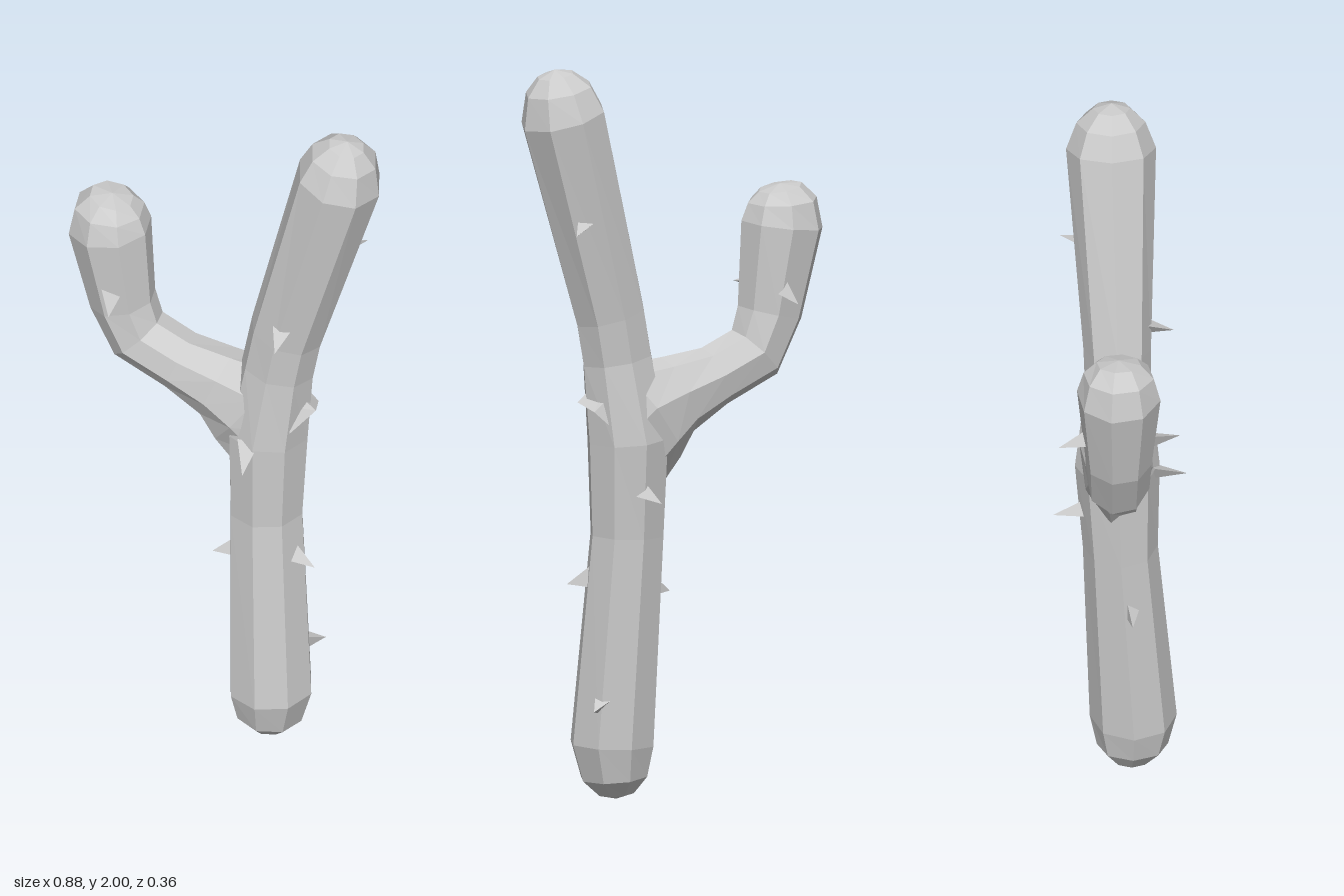
import * as THREE from 'three';

const SIDES = 8;
const material = new THREE.MeshStandardMaterial({ color: 0xcccccc, flatShading: true });

// Loft a faceted limb through rings of [x, y, z, radius in the xy plane, radius along z]
function limb(name, rings, twist = 0) {
  const loops = rings.map(([x, y, z, ru, rz], i) => {
    const a = rings[Math.max(i - 1, 0)], b = rings[Math.min(i + 1, rings.length - 1)];
    const t = new THREE.Vector2(b[0] - a[0], b[1] - a[1]).normalize();
    return Array.from({ length: SIDES }, (_, k) => {
      const ang = (k + twist) / SIDES * Math.PI * 2;
      const u = Math.cos(ang) * ru;
      return [x + t.y * u, y - t.x * u, z + Math.sin(ang) * rz];
    });
  });
  const pos = [];
  for (let i = 0; i < loops.length - 1; i++) {
    for (let k = 0; k < SIDES; k++) {
      const n = (k + 1) % SIDES;
      const a = loops[i][k], b = loops[i + 1][k], c = loops[i + 1][n], d = loops[i][n];
      // Rings of zero radius are the pointed ends of the caps
      if (rings[i + 1][3] > 0) pos.push(...a, ...b, ...c);
      if (rings[i][3] > 0) pos.push(...a, ...c, ...d);
    }
  }
  const geo = new THREE.BufferGeometry();
  geo.setAttribute('position', new THREE.Float32BufferAttribute(pos, 3));
  geo.computeVertexNormals();
  const mesh = new THREE.Mesh(geo, material);
  mesh.name = name;
  return mesh;
}

// Three-sided thorn running from a base point to its tip
function thorn(base, tip) {
  const from = new THREE.Vector3(...base), to = new THREE.Vector3(...tip);
  const dir = to.clone().sub(from);
  const geo = new THREE.ConeGeometry(0.034, dir.length(), 3);
  geo.scale(1, 1, 0.75);
  const mesh = new THREE.Mesh(geo, material);
  mesh.name = 'thorn';
  mesh.position.copy(from).add(to).multiplyScalar(0.5);
  mesh.quaternion.setFromUnitVectors(new THREE.Vector3(0, 1, 0), dir.normalize());
  return mesh;
}

export function createModel() {
  const group = new THREE.Group();
  group.name = 'forkedThornyStick';

  // Main stem with rounded ends
  group.add(limb('mainStem', [
    [0.14, 0, 0.03, 0, 0],
    [0.14, 0.015, 0.03, 0.05, 0.05],
    [0.145, 0.06, 0.033, 0.092, 0.095],
    [0.15, 0.15, 0.035, 0.116, 0.116],
    [0.123, 0.72, 0, 0.103, 0.1],
    [0.125, 0.98, -0.008, 0.113, 0.113],
    [0.155, 1.2, -0.005, 0.1, 0.088],
    [0.177, 1.32, -0.007, 0.1, 0.09],
    [0.325, 1.87, -0.02, 0.117, 0.12],
    [0.338, 1.945, -0.02, 0.092, 0.092],
    [0.346, 1.985, -0.018, 0.05, 0.05],
    [0.348, 2.0, -0.018, 0, 0],
  ]));

  // Side branch that leaves the fork and bends upward
  group.add(limb('sideBranch', [
    [0.15, 0.97, -0.01, 0.17, 0.085],
    [0.07, 1.05, -0.012, 0.16, 0.1],
    [-0.02, 1.09, -0.015, 0.11, 0.09],
    [-0.13, 1.13, -0.015, 0.083, 0.083],
    [-0.25, 1.185, -0.015, 0.087, 0.085],
    [-0.295, 1.29, -0.015, 0.09, 0.09],
    [-0.332, 1.525, -0.015, 0.113, 0.113],
    [-0.333, 1.59, -0.015, 0.095, 0.095],
    [-0.327, 1.625, -0.015, 0.06, 0.06],
    [-0.325, 1.635, -0.015, 0, 0],
  ], 0.25));

  // Thorns scattered around the limbs: [base, tip]
  const thorns = [
    [[-0.3, 1.36, 0.065], [-0.27, 1.35, 0.15]],
    [[0.195, 1.385, 0.06], [0.205, 1.36, 0.145]],
    [[0.1, 0.98, 0.08], [0.125, 0.95, 0.178]],
    [[-0.3, 1.37, -0.09], [-0.3, 1.335, -0.175]],
    [[0.12, 0.85, -0.09], [0.11, 0.83, -0.18]],
    [[0.29, 1.585, -0.08], [0.352, 1.57, -0.155]],
    [[0.215, 0.605, 0.03], [0.28, 0.59, 0.045]],
    [[0.045, 0.57, 0.025], [-0.02, 0.55, 0.03]],
    [[0.215, 0.275, -0.035], [0.262, 0.262, -0.08]],
  ];
  for (const [base, tip] of thorns) group.add(thorn(base, tip));
  return group;
}
